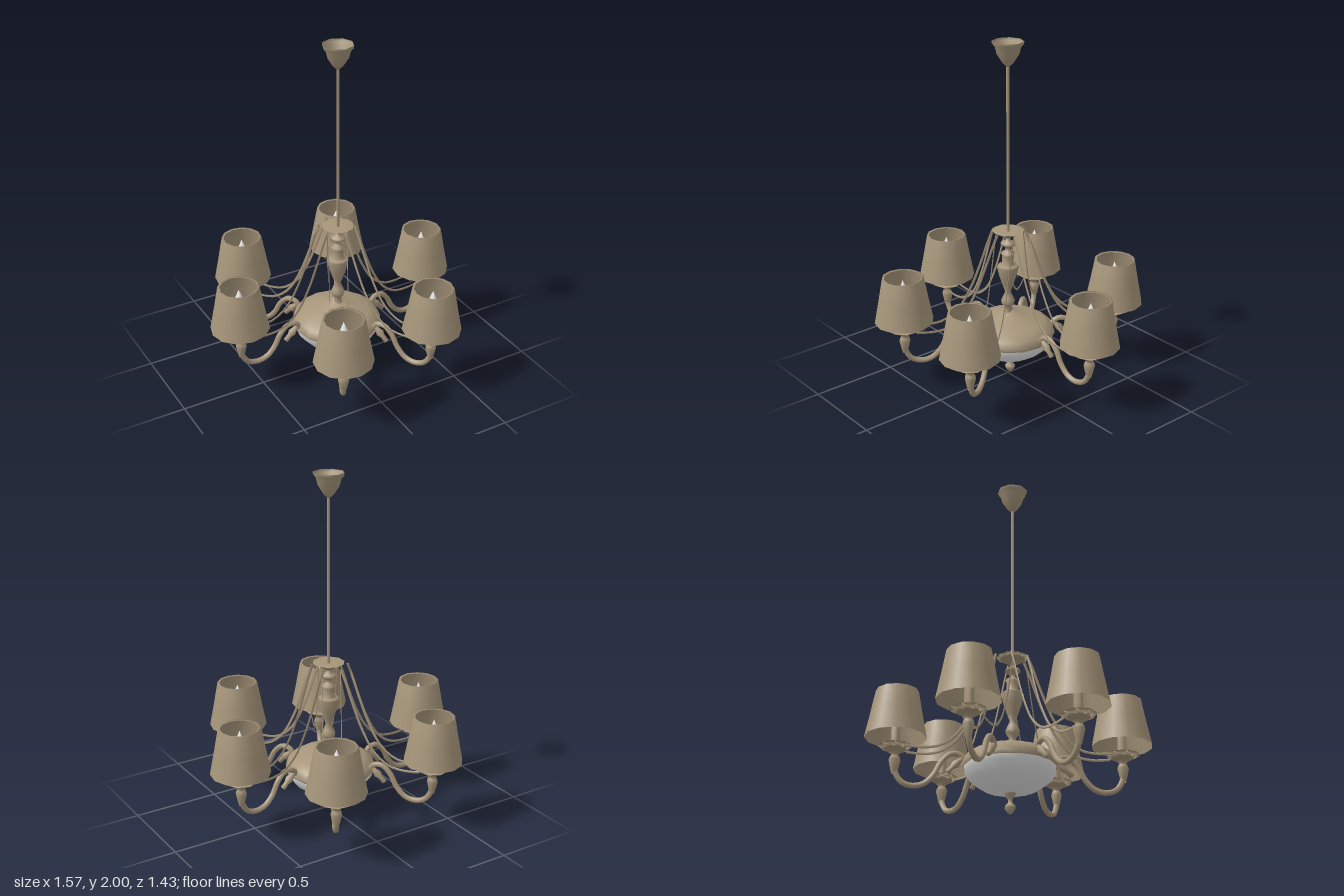
import * as THREE from 'three';

const brass = new THREE.MeshStandardMaterial({ color: 0xa6957a, side: THREE.DoubleSide });
brass.name = 'antique brass';
const glass = new THREE.MeshStandardMaterial({ color: 0xe9e9e9, side: THREE.DoubleSide });
glass.name = 'white glass';

// Turned part from [radius, height] pairs, listed bottom to top
function turned(name, profile, sides, material = brass) {
  const pts = profile.map(([r, y]) => new THREE.Vector2(r, y));
  const mesh = new THREE.Mesh(new THREE.LatheGeometry(pts, sides), material);
  mesh.name = name;
  return mesh;
}

// Tube through [radius, height] points in the local x-y plane
function bent(name, points, radius, segments, sides) {
  const curve = new THREE.CatmullRomCurve3(points.map(([x, y]) => new THREE.Vector3(x, y, 0)));
  const mesh = new THREE.Mesh(new THREE.TubeGeometry(curve, segments, radius, sides), brass);
  mesh.name = name;
  return mesh;
}

// One arm reaching along +x, with its candle, bulb, shade and side ribbons
function makeArm() {
  const arm = new THREE.Group();
  arm.name = 'arm';
  arm.add(bent('armTube', [[0.23, 0.27], [0.27, 0.325], [0.32, 0.33], [0.37, 0.285], [0.41, 0.21],
    [0.46, 0.16], [0.52, 0.145], [0.58, 0.165], [0.615, 0.22], [0.62, 0.28]], 0.016, 28, 7));

  // peg that points down and outward from the bowl rim
  const peg = turned('peg', [[0, 0], [0.016, 0.005], [0.014, 0.04], [0.024, 0.065], [0.016, 0.09], [0.01, 0.13]], 7);
  peg.position.set(0.34, 0.225, 0);
  peg.rotation.z = Math.PI / 4;
  arm.add(peg);

  const lamp = new THREE.Group();
  lamp.name = 'lamp';
  lamp.position.x = 0.62;
  lamp.add(
    turned('cup', [[0.014, 0.21], [0.022, 0.24], [0.032, 0.285], [0.026, 0.305], [0.018, 0.315],
      [0.034, 0.33], [0.06, 0.345], [0.096, 0.365], [0.025, 0.358]], 8),
    turned('candle', [[0.025, 0.35], [0.025, 0.51], [0, 0.512]], 7),
    turned('bulb', [[0.018, 0.51], [0.032, 0.56], [0.026, 0.6], [0, 0.665]], 6, glass),
    turned('shade', [[0.169, 0.412], [0.142, 0.55], [0.118, 0.682], [0.107, 0.679]], 12),
  );
  arm.add(lamp);

  // pair of flat ribbons hanging from the crown to the cup
  for (const side of [-1, 1]) {
    const ribbon = bent('ribbon', [[0.085, 0.905], [0.115, 0.83], [0.16, 0.7], [0.215, 0.56],
      [0.29, 0.43], [0.38, 0.36], [0.47, 0.345], [0.56, 0.352]], 0.008, 20, 5);
    ribbon.scale.z = 0.3;
    ribbon.position.z = side * 0.053;
    arm.add(ribbon);
  }
  return arm;
}

export function createModel() {
  const model = new THREE.Group();
  model.name = 'chandelier';

  // ceiling canopy, rod and crown
  model.add(
    turned('canopy', [[0.008, 1.86], [0.03, 1.88], [0.062, 1.93], [0.07, 1.965], [0.086, 1.985], [0.088, 2]], 8),
    turned('rod', [[0.009, 0.86], [0.009, 1.88]], 8),
    turned('crown', [[0.012, 0.865], [0.035, 0.88], [0.07, 0.9], [0.092, 0.912], [0.009, 0.908]], 10),
  );

  // turned central column
  model.add(turned('column', [[0.028, 0.4], [0.018, 0.43], [0.036, 0.455], [0.04, 0.475], [0.03, 0.5],
    [0.016, 0.53], [0.03, 0.57], [0.05, 0.63], [0.064, 0.69], [0.055, 0.7], [0.032, 0.705],
    [0.034, 0.76], [0.04, 0.775], [0.016, 0.79], [0.016, 0.81], [0.044, 0.825], [0.04, 0.84],
    [0.014, 0.85], [0.012, 0.875]], 10));

  // bowl: brass lid, white glass below and a finial
  const bowl = new THREE.Group();
  bowl.name = 'bowl';
  bowl.position.z = -0.016;
  bowl.add(
    turned('bowlLid', [[0.25, 0.255], [0.262, 0.275], [0.245, 0.315], [0.2, 0.345], [0.12, 0.372], [0.06, 0.392], [0.02, 0.415]], 16),
    turned('glassBowl', [[0, 0.115], [0.08, 0.122], [0.15, 0.145], [0.21, 0.185], [0.245, 0.23], [0.252, 0.26]], 16, glass),
    turned('finial', [[0, 0], [0.016, 0.012], [0.03, 0.035], [0.028, 0.05], [0.012, 0.065], [0.012, 0.085],
      [0.026, 0.1], [0.032, 0.118]], 8),
  );
  model.add(bowl);

  // six arms, slightly unevenly spread
  for (const degrees of [-126, -60.5, -5, 60, 116.2, 181]) {
    const arm = makeArm();
    arm.position.z = -0.015;
    arm.rotation.y = -THREE.MathUtils.degToRad(degrees);
    model.add(arm);
  }
  return model;
}
